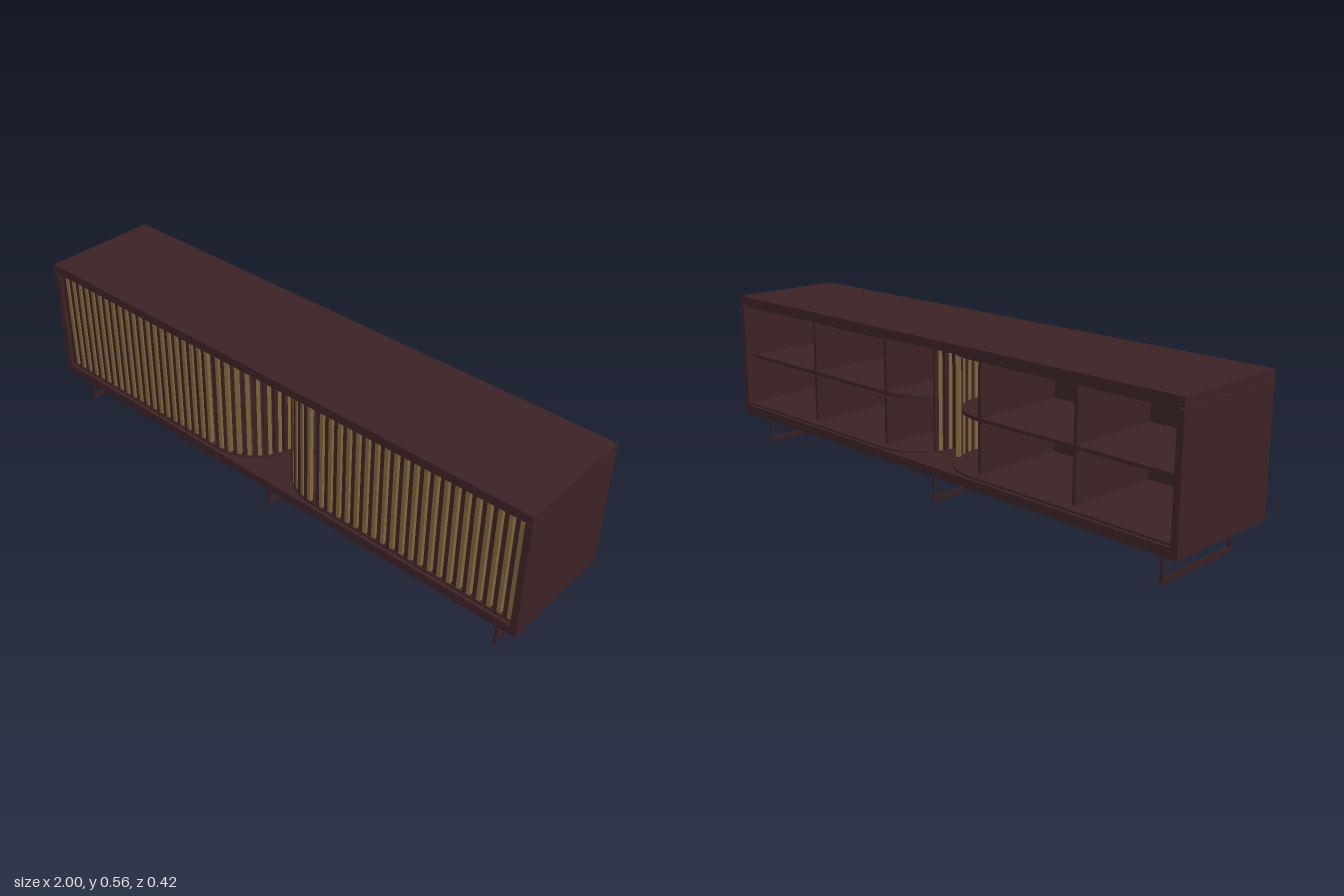
import * as THREE from 'three';

const wood = new THREE.MeshStandardMaterial({ color: 0x3c2224 });
wood.name = 'dark wood';
const brass = new THREE.MeshStandardMaterial({ color: 0x80653a });
brass.name = 'brass slat';
const legPaint = new THREE.MeshStandardMaterial({ color: 0x381f20 });
legPaint.name = 'leg metal';

const FLOOR = 0.142, CEILING = 0.525;
const ARC_X = 0.215, ARC_R = 0.19;   // centre and radius of the rounded inner ends
const BACK = -0.168, FRONT = 0.172;

// Box given by its extents on each axis
function box(parent, name, mat, [x0, x1], [y0, y1], [z0, z1]) {
  const m = new THREE.Mesh(new THREE.BoxGeometry(Math.abs(x1 - x0), y1 - y0, z1 - z0), mat);
  m.position.set((x0 + x1) / 2, (y0 + y1) / 2, (z0 + z1) / 2);
  m.name = name;
  parent.add(m);
  return m;
}

// Horizontal board with a half-round end towards the centre
function roundBoard(parent, name, side, y, thick, r) {
  const s = new THREE.Shape();
  s.moveTo(0.98, -r);
  s.lineTo(0.98, r);
  s.lineTo(ARC_X, r);
  s.absarc(ARC_X, 0, r, Math.PI / 2, Math.PI * 1.5, false);
  s.closePath();
  const g = new THREE.ExtrudeGeometry(s, { depth: thick, bevelEnabled: false, curveSegments: 24 });
  g.rotateX(-Math.PI / 2);
  if (side < 0) g.rotateY(Math.PI);
  const m = new THREE.Mesh(g, wood);
  m.position.y = y;
  m.name = name;
  parent.add(m);
}

// One tambour slat: a dark strip with a brass strip beside it
function slat(parent, x, z, turn) {
  const g = new THREE.Group();
  g.name = 'slat';
  box(g, 'woodStrip', wood, [-0.017, -0.004], [FLOOR, CEILING], [-0.008, 0.008]);
  box(g, 'brassStrip', brass, [-0.004, 0.009], [FLOOR, CEILING], [-0.007, 0.007]);
  g.position.set(x, 0, z);
  g.rotation.y = turn;
  parent.add(g);
}

function cabinetHalf(side) {
  const half = new THREE.Group();
  half.name = side > 0 ? 'leftCabinet' : 'rightCabinet';
  box(half, 'sidePanel', wood, [side * 0.978, side], [FLOOR, CEILING], [-0.211, 0.213]);
  for (const x of [0.606, 0.222]) {
    box(half, 'divider', wood, [side * x - 0.006, side * x + 0.006], [FLOOR, CEILING], [BACK, FRONT]);
  }
  roundBoard(half, 'shelf', side, 0.32, 0.012, 0.17);
  roundBoard(half, 'floorTrack', side, FLOOR, 0.007, 0.2);
  roundBoard(half, 'ceilingTrack', side, CEILING - 0.007, 0.007, 0.2);

  // Thin backings behind the slats, facing into the open compartments
  const bays = [[0.98, 0.606], [0.606, 0.222]];
  bays.forEach(([a, b], bay) => {
    for (const [y0, y1] of [[FLOOR, 0.32], [0.332, CEILING]]) {
      if (side > 0 && bay === 1 && y0 > 0.3) continue;   // one bay is left open
      const p = new THREE.Mesh(new THREE.PlaneGeometry(a - b, y1 - y0), wood);
      p.rotation.y = Math.PI;
      p.position.set(side * (a + b) / 2, (y0 + y1) / 2, FRONT);
      p.name = 'backing';
      half.add(p);
    }
  });

  // Slats along the front, then around the rounded end
  const pitch = 0.0355;
  for (let x = 0.96; x > ARC_X; x -= pitch) slat(half, side * x, ARC_R, 0);
  const step = 0.034 / ARC_R;
  for (let a = 0.08; a < Math.PI / 2 + 0.5; a += step) {
    slat(half, side * (ARC_X - ARC_R * Math.sin(a)), ARC_R * Math.cos(a), -side * a);
  }
  return half;
}

function legFrame(x) {
  const leg = new THREE.Group();
  leg.name = 'legFrame';
  const w = [-0.004, 0.004];
  box(leg, 'footRail', legPaint, w, [0, 0.016], [-0.16, 0.178]);
  box(leg, 'topRail', legPaint, w, [0.093, 0.105], [-0.16, 0.178]);
  box(leg, 'frontPost', legPaint, w, [0.016, 0.093], [0.167, 0.175]);
  box(leg, 'backPost', legPaint, w, [0.016, 0.093], [-0.157, -0.149]);
  box(leg, 'mountingPlate', legPaint, w, [0.105, 0.11], [-0.1, 0.12]);
  leg.position.x = x;
  return leg;
}

export function createModel() {
  const model = new THREE.Group();
  model.name = 'sideboard';
  box(model, 'topBoard', wood, [-1, 1], [0.528, 0.558], [-0.211, 0.213]);
  box(model, 'baseBoard', wood, [-1, 1], [0.11, FLOOR], [-0.211, 0.213]);
  for (const side of [-1, 1]) model.add(cabinetHalf(side));
  for (const x of [-0.915, 0, 0.915]) model.add(legFrame(x));
  return model;
}
